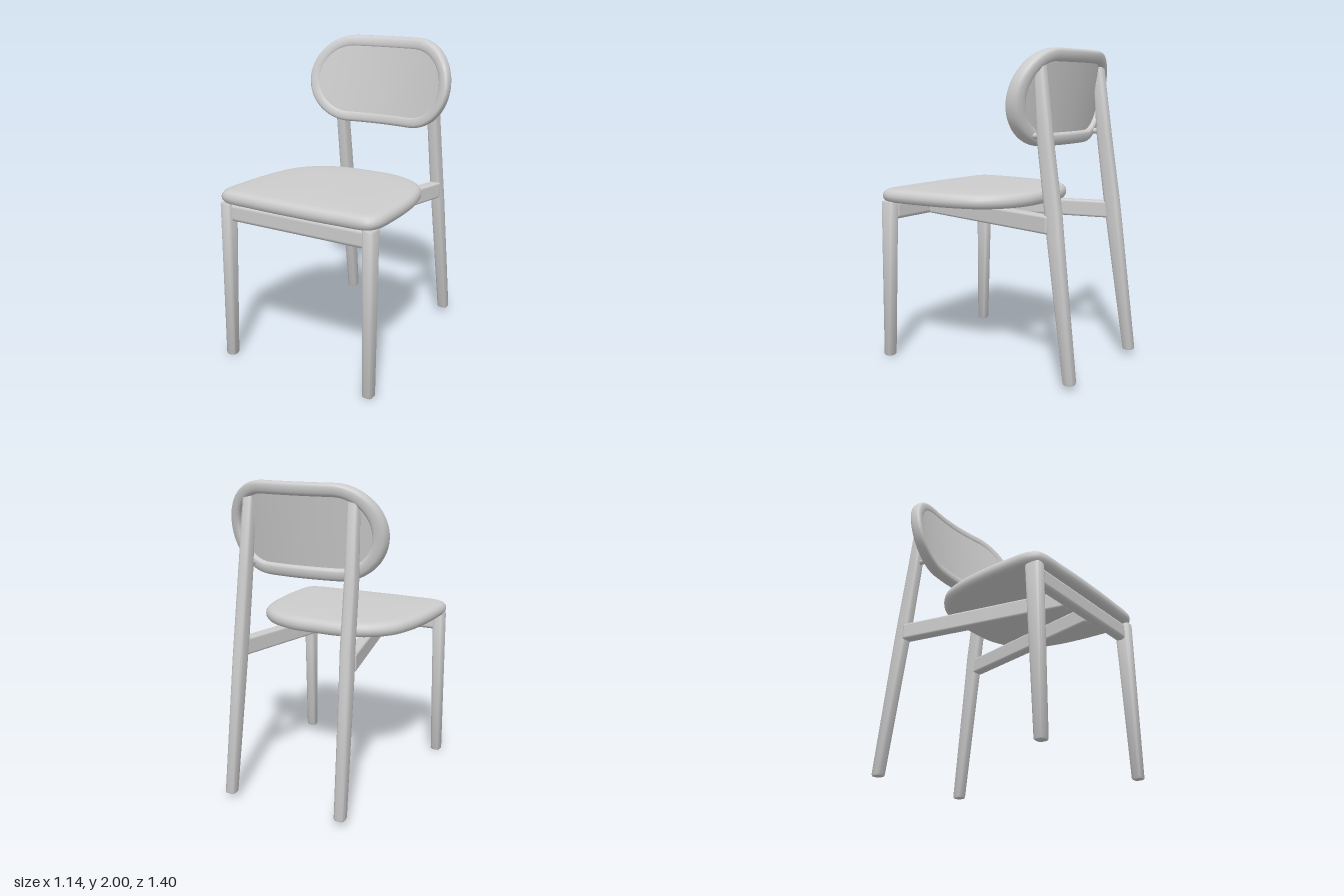
import * as THREE from 'three';
import { toCreasedNormals } from 'three/addons/utils/BufferGeometryUtils.js';
import { RoundedBoxGeometry } from 'three/addons/geometries/RoundedBoxGeometry.js';

// Skin a list of equal-length point rings; capped unless the loop is closed.
function loft(rings, closed = false) {
  const n = rings[0].length, m = rings.length, pts = rings.flat(), index = [];
  for (let i = 0; i < (closed ? m : m - 1); i++) {
    for (let j = 0; j < n; j++) {
      const k = (j + 1) % n, next = (i + 1) % m;
      const a = i * n + j, b = i * n + k, c = next * n + j, d = next * n + k;
      index.push(a, c, b, b, c, d);
    }
  }
  if (!closed) {
    [0, m - 1].forEach((r) => {
      const centre = new THREE.Vector3();
      rings[r].forEach((p) => centre.addScaledVector(p, 1 / n));
      const c = pts.push(centre) - 1;
      for (let j = 0; j < n; j++) {
        const a = r * n + j, b = r * n + (j + 1) % n;
        if (r === 0) index.push(c, a, b); else index.push(c, b, a);
      }
    });
  }
  const g = new THREE.BufferGeometry().setFromPoints(pts);
  g.setIndex(index);
  return toCreasedNormals(g, 0.8);
}

// Rounded-square cross-section as [u, v] pairs in -1..1.
function section(count, power) {
  const f = (v) => Math.sign(v) * Math.abs(v) ** power;
  return Array.from({ length: count }, (_, i) => {
    const t = (i / count) * Math.PI * 2;
    return [f(Math.cos(t)), f(Math.sin(t))];
  });
}

// Leg from stations [x, y, z, halfWidth, halfDepth], listed bottom to top.
function leg(stations, side) {
  const s = section(24, 0.55);
  return loft(stations.map(([x, y, z, w, d]) =>
    s.map(([u, v]) => new THREE.Vector3(side * x + u * w, y, z + v * d))));
}

// Seat: rounded D outline stacked through an edge profile of [inset, height].
function seatGeometry() {
  const half = [[0.2, -0.25], [0.36, -0.185], [0.475, -0.07], [0.53, 0.08], [0.557, 0.25],
    [0.57, 0.48], [0.565, 0.61], [0.53, 0.672], [0.3, 0.694]];
  const outline = [[0, -0.26], ...half, [0, 0.7], ...half.map(([x, z]) => [-x, z]).reverse()];
  const curve = new THREE.CatmullRomCurve3(
    outline.map(([x, z]) => new THREE.Vector3(x, 0, z)), true);
  const pts = curve.getSpacedPoints(120).slice(0, 120);
  const profile = [[0.1, 1.036], [0.035, 1.036], [0.015, 1.044], [0.003, 1.06], [0, 1.077],
    [0.003, 1.096], [0.015, 1.112], [0.035, 1.121], [0.07, 1.125], [0.2, 1.129], [0.4, 1.132]];
  return loft(profile.map(([inset, y]) => {
    const k = 1 - inset / 0.57;
    return pts.map((p) => new THREE.Vector3(p.x * k, y, 0.22 + (p.z - 0.22) * k));
  }));
}

// Backrest: a stadium bent around the sitter and leaning backwards.
const BACK = { y: 1.71, straight: 0.235, radius: 0.29 };
const bend = (x, y) => -0.43 - 0.18 * (y - 1.7) + 0.35 * x * x;

function stadium() {
  const { straight: s, radius: r } = BACK;
  const path = new THREE.Path();
  path.absarc(s, 0, r, -Math.PI / 2, Math.PI / 2, false);
  path.absarc(-s, 0, r, Math.PI / 2, Math.PI * 1.5, false);
  path.closePath();
  return path.getSpacedPoints(112).slice(0, 112);
}

// Point on the bent stadium, moved inwards by inset, scaled and pushed along z.
function backPoint(p, inset, scale, dz) {
  const cx = THREE.MathUtils.clamp(p.x, -BACK.straight, BACK.straight);
  const k = (BACK.radius - inset) / BACK.radius;
  const x = (cx + (p.x - cx) * k) * scale, y = BACK.y + p.y * k * scale;
  return new THREE.Vector3(x, y, bend(x, y) + dz);
}

function backFrameGeometry() {
  const s = section(20, 0.65);
  return loft(stadium().map((p) =>
    s.map(([u, v]) => backPoint(p, 0.04 - u * 0.04, 1, v * 0.046))), true);
}

function backPanelGeometry() {
  const outline = stadium(), scales = [0.05, 0.2, 0.4, 0.6, 0.8, 0.95, 0.985, 1];
  const front = scales.map((s) => [s, s > 0.99 ? 0.03 : 0.04]);
  const back = scales.map((s) => [s, -0.012]).reverse();
  return loft([...front, ...back].map(([s, dz]) =>
    outline.map((p) => backPoint(p, 0.05, s, dz))));
}

export function createModel() {
  const chair = new THREE.Group();
  chair.name = 'chair';
  const grey = new THREE.MeshStandardMaterial({ color: 0xcccccc });
  grey.name = 'light grey';
  const add = (name, geometry) => {
    const mesh = new THREE.Mesh(geometry, grey);
    mesh.name = name;
    chair.add(mesh);
    return mesh;
  };

  add('seat', seatGeometry());
  add('backrestFrame', backFrameGeometry());
  add('backrestPanel', backPanelGeometry());

  // Rail joining the front legs
  add('frontRail', new RoundedBoxGeometry(0.98, 0.115, 0.07, 4, 0.025))
    .position.set(0, 0.978, 0.62);

  for (const side of [1, -1]) {
    const label = side > 0 ? 'left' : 'right';
    add(label + 'FrontLeg', leg([
      [0.518, 0, 0.65, 0.03, 0.028], [0.518, 0.008, 0.65, 0.035, 0.033],
      [0.513, 1.03, 0.628, 0.038, 0.052], [0.513, 1.04, 0.628, 0.034, 0.048]], side));
    add(label + 'BackLeg', leg([
      [0.388, 0.04, -0.665, 0.031, 0.031], [0.388, 0.05, -0.664, 0.035, 0.035],
      [0.37, 0.9, -0.549, 0.037, 0.049], [0.365, 1.05, -0.53, 0.037, 0.05],
      [0.36, 1.45, -0.472, 0.036, 0.047], [0.35, 1.9, -0.425, 0.032, 0.034],
      [0.35, 1.92, -0.423, 0.026, 0.028]], side));

    // Rail from the back leg, converging on the front rail
    const rail = add(label + 'SideRail', new RoundedBoxGeometry(0.075, 0.11, 1.14, 3, 0.015));
    rail.position.set(side * 0.25, 0.976, 0.04);
    rail.rotation.y = Math.atan2(-side * 0.24, 1.08);

    // Peg holding the lower backrest off the leg
    const peg = add(label + 'BackPeg', new THREE.CylinderGeometry(0.018, 0.018, 0.13, 16));
    peg.rotation.x = Math.PI / 2;
    peg.position.set(side * 0.355, 1.49, -0.4);
  }
  return chair;
}
